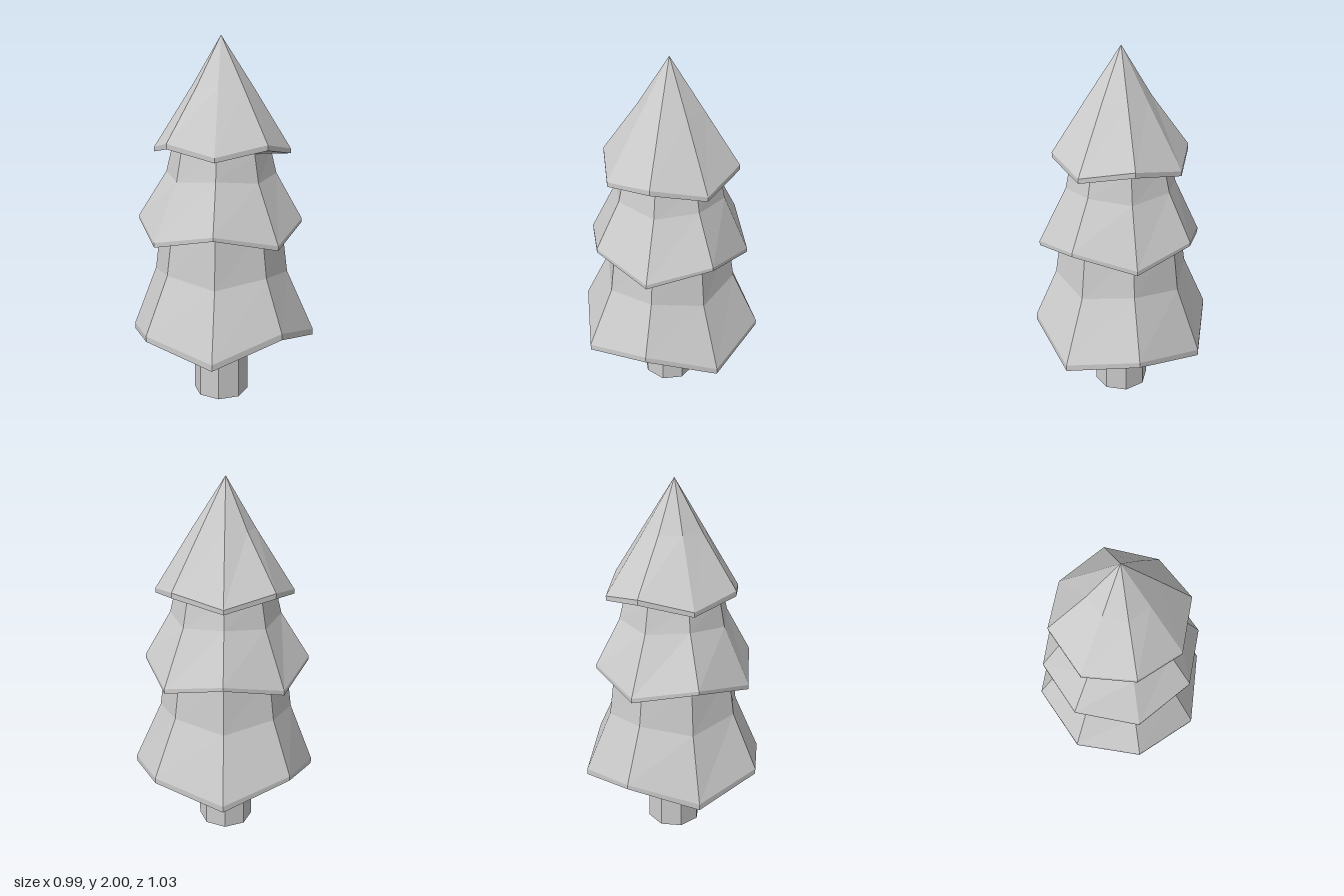
import * as THREE from 'three';

const SIDES = 8;
const material = new THREE.MeshStandardMaterial({ color: 0xcccccc, flatShading: true });
const pick = (v, i) => (Array.isArray(v) ? v[i % v.length] : v);

// Skins a stack of eight-sided rings [radius, height], listed from bottom to top.
// An array value is cycled around the ring, starting at +x and turning towards +z.
function loft(name, rings) {
  const point = ([r, y], i) => {
    const k = i % SIDES, a = (k / SIDES) * Math.PI * 2;
    return new THREE.Vector3(pick(r, k) * Math.cos(a), pick(y, k), pick(r, k) * Math.sin(a));
  };
  const pos = [];
  const tri = (...pts) => pts.forEach((p) => pos.push(p.x, p.y, p.z));
  for (let k = 0; k < rings.length - 1; k++) {
    const low = rings[k], high = rings[k + 1];
    for (let i = 0; i < SIDES; i++) {
      const a = point(low, i + 1), b = point(low, i);
      const c = point(high, i), d = point(high, i + 1);
      if (low[0] !== 0) tri(a, b, c);
      if (high[0] !== 0) tri(a, c, d);
    }
  }
  const geometry = new THREE.BufferGeometry();
  geometry.setAttribute('position', new THREE.Float32BufferAttribute(pos, 3));
  geometry.computeVertexNormals();
  const mesh = new THREE.Mesh(geometry, material);
  mesh.name = name;
  return mesh;
}

export function createModel() {
  const tree = new THREE.Group();
  tree.name = 'pineTree';

  // Trunk with closed foot
  tree.add(loft('trunk', [[0, 0], [0.155, 0], [0.15, 0.44]]));

  // Each tier: underside, thin rim with alternating heights, bend, top
  const lowerRim = [0.493, 0.52, 0.515, 0.5, 0.5, 0.515, 0.52, 0.523];
  tree.add(loft('lowerBranches', [
    [0.15, 0.44],
    [lowerRim, [0.46, 0.35, 0.43, 0.35, 0.45, 0.35, 0.43, 0.35]],
    [lowerRim, [0.495, 0.385, 0.46, 0.385, 0.475, 0.385, 0.46, 0.385]],
    [0.37, [0.765, 0.725]],
    [0.333, 1.01],
  ]));

  const middleRim = [0.453, 0.44, 0.45, 0.458, 0.44, 0.435, 0.437, 0.443];
  tree.add(loft('middleBranches', [
    [0.333, 1.01],
    [middleRim, [0.935, 1.01]],
    [middleRim, [0.96, 1.03]],
    [0.3, [1.26, 1.28]],
    [0.268, 1.41],
  ]));

  const upperRim = [0.365, 0.36, 0.36, 0.365, 0.365, 0.368, 0.37, 0.375];
  tree.add(loft('upperBranches', [
    [0.268, 1.41],
    [upperRim, [1.437, 1.387]],
    [upperRim, [1.465, 1.412]],
    [[0.18, 0.16, 0.165, 0.155, 0.16, 0.16, 0.18, 0.17], 1.74],
    [0, 2],
  ]));

  return tree;
}
